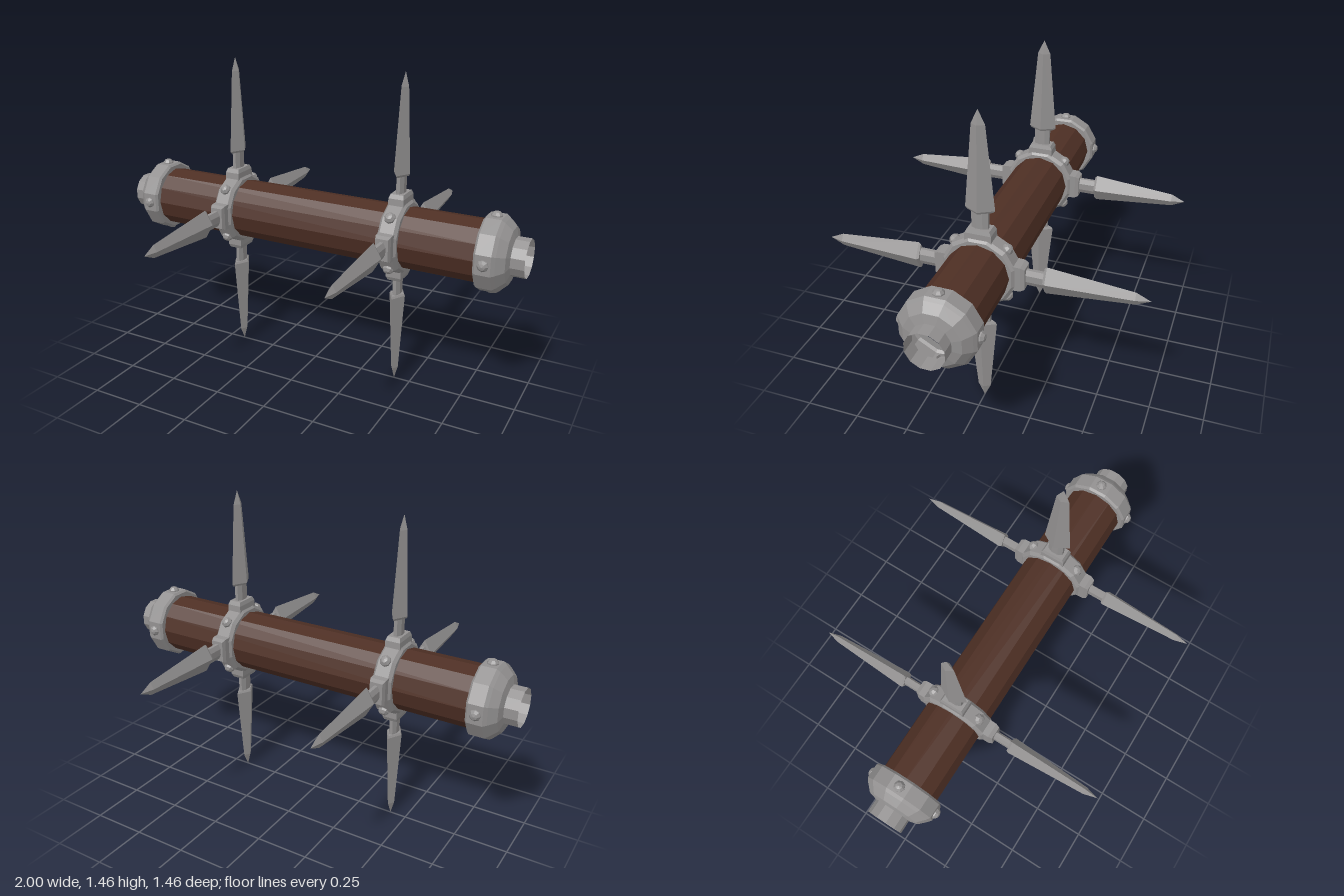
import * as THREE from 'three';

const steel = new THREE.MeshStandardMaterial({ color: 0x939191, flatShading: true, side: THREE.DoubleSide });
steel.name = 'steel';
const wood = new THREE.MeshStandardMaterial({ color: 0x4e2f24, flatShading: true });
wood.name = 'dark wood';

const AXIS_Y = 0.729;   // height of the shaft axis
const SPIKE_X = 0.422;  // distance of spike rings from the middle
const CAP_X = 0.85;     // distance of end rivets from the middle

function mesh(name, geometry, material = steel) {
  const m = new THREE.Mesh(geometry, material);
  m.name = name;
  return m;
}

// Faceted turned shape from [radius, height] pairs
function turned(points, sides, turn = 0) {
  const g = new THREE.LatheGeometry(points.map(([r, y]) => new THREE.Vector2(r, y)), sides);
  return g.rotateY(turn);
}

// Turned shape laid along +x, with flats facing up, down, front and back
function alongX(points) {
  return turned(points, 12, Math.PI / 12).rotateZ(-Math.PI / 2);
}

// Four copies of a part around the shaft
function fourAround(parent, name, geometry, x, offset = 0) {
  for (let i = 0; i < 4; i++) {
    const m = mesh(name, geometry);
    m.position.x = x;
    m.rotation.x = offset + i * Math.PI / 2;
    parent.add(m);
  }
}

// Low domed rivet standing at a given radius, pointing up
function rivetGeometry(r) {
  return turned([[0.026, r - 0.012], [0.025, r + 0.006], [0.015, r + 0.018], [0, r + 0.022]], 8);
}

function spikeRing(x) {
  const g = new THREE.Group();
  g.name = 'spikeRing';
  g.add(mesh('band', alongX([
    [0.13, -0.045], [0.155, -0.045], [0.17, -0.032], [0.17, 0.032], [0.155, 0.045], [0.13, 0.045],
  ])));
  fourAround(g, 'bandRivet', rivetGeometry(0.168), 0, Math.PI / 4);

  // Tapered socket, neck and diamond-section blade
  const socket = turned([[0.085, 0.15], [0.083, 0.185], [0.07, 0.203], [0, 0.203]], 4, Math.PI / 4).scale(0.6, 1, 1);
  const neck = turned([[0.04, 0.19], [0.04, 0.29]], 8, Math.PI / 8).scale(0.5, 1, 1);
  const blade = turned([[0, 0.28], [0.057, 0.28], [0.066, 0.29], [0.03, 0.665], [0, 0.728]], 4).scale(0.57, 1, 1);
  fourAround(g, 'spikeSocket', socket, 0);
  fourAround(g, 'spikeNeck', neck, 0);
  fourAround(g, 'spikeBlade', blade, 0);
  g.position.x = x;
  return g;
}

function endCap() {
  const g = new THREE.Group();
  g.name = 'endCap';
  // Collar, sloping shoulder and open tube end
  g.add(mesh('collar', alongX([
    [0.13, 0.805], [0.16, 0.805], [0.17, 0.815], [0.17, 0.882], [0.158, 0.897],
  ])));
  g.add(mesh('shoulder', alongX([[0.158, 0.897], [0.125, 0.93], [0.086, 0.94]])));
  g.add(mesh('tubeEnd', alongX([[0.086, 0.93], [0.086, 1]])));
  fourAround(g, 'collarRivet', rivetGeometry(0.164), CAP_X);
  return g;
}

export function createModel() {
  const model = new THREE.Group();
  model.name = 'spikedRoller';

  const shaft = new THREE.CylinderGeometry(0.14, 0.14, 1.7, 12, 1, true).rotateZ(Math.PI / 2);
  model.add(mesh('woodenShaft', shaft, wood));

  for (const side of [1, -1]) {
    model.add(spikeRing(side * SPIKE_X));
    const cap = endCap();
    cap.rotation.y = side > 0 ? 0 : Math.PI;
    model.add(cap);
  }

  for (const part of model.children) part.position.y = AXIS_Y;
  return model;
}
